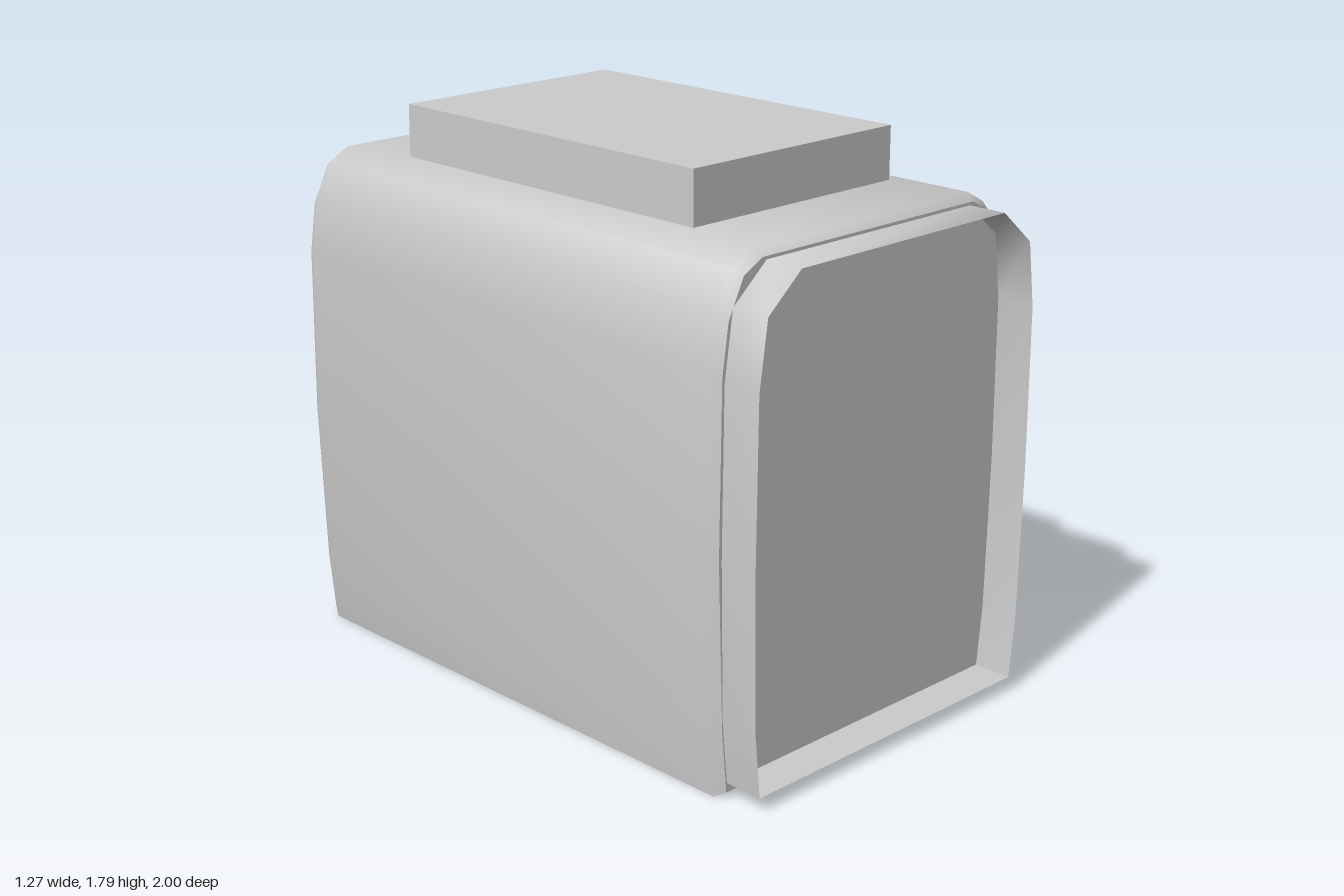
import * as THREE from 'three';
import { toCreasedNormals } from 'three/addons/utils/BufferGeometryUtils.js';

// Mirror a right-hand half profile (bottom to top) into a closed counter-clockwise loop.
function mirrorProfile(half) {
  return [...half, ...half.slice().reverse().map(([x, y]) => [-x, y])];
}

// Skin a closed profile through stations { z, sx, sy } scaled about height midY.
function loft(profile, stations, midY, capped) {
  const n = profile.length;
  const positions = [];
  const index = [];
  for (const { z, sx, sy } of stations) {
    for (const [x, y] of profile) positions.push(x * sx, midY + (y - midY) * sy, z);
  }
  for (let i = 0; i < stations.length - 1; i++) {
    for (let j = 0; j < n; j++) {
      const a = i * n + j;
      const b = i * n + (j + 1) % n;
      index.push(a, b, b + n, a, b + n, a + n);
    }
  }
  if (capped) {
    const last = (stations.length - 1) * n;
    for (let j = 1; j < n - 1; j++) {
      index.push(0, j + 1, j); // back
      index.push(last, last + j, last + j + 1); // front
    }
  }
  const geometry = new THREE.BufferGeometry();
  geometry.setAttribute('position', new THREE.Float32BufferAttribute(positions, 3));
  geometry.setIndex(index);
  return toCreasedNormals(geometry, 0.8);
}

export function createModel() {
  const model = new THREE.Group();
  const grey = new THREE.MeshStandardMaterial({ color: 0xcccccc, side: THREE.DoubleSide });
  grey.name = 'light grey';

  function add(name, geometry) {
    const mesh = new THREE.Mesh(geometry, grey);
    mesh.name = name;
    model.add(mesh);
    return mesh;
  }

  // Main housing with bulging sides, rounded shoulders and bevelled ends
  const bodyProfile = mirrorProfile([
    [0.595, 0], [0.615, 0.2], [0.635, 0.75], [0.628, 1.3],
    [0.605, 1.46], [0.545, 1.58], [0.47, 1.62],
  ]);
  const inset = { sx: 0.97, sy: 0.975 };
  add('body', loft(bodyProfile, [
    { z: -1, ...inset },
    { z: -0.965, sx: 1, sy: 1 },
    { z: 0.835, sx: 1, sy: 1 },
    { z: 0.87, ...inset },
  ], 0.81, true));

  // Thin open collar around the front
  const collarProfile = mirrorProfile([
    [0.575, 0.05], [0.595, 0.25], [0.605, 0.75], [0.6, 1.27], [0.57, 1.48], [0.44, 1.59],
  ]);
  add('frontCollar', loft(collarProfile, [
    { z: 0.87, sx: 1, sy: 1 },
    { z: 1, sx: 1, sy: 1 },
  ], 0.82, false));

  // Raised block on the roof
  const block = add('topBlock', new THREE.BoxGeometry(0.845, 0.18, 1.27));
  block.position.set(0, 1.7, -0.065);

  return model;
}
